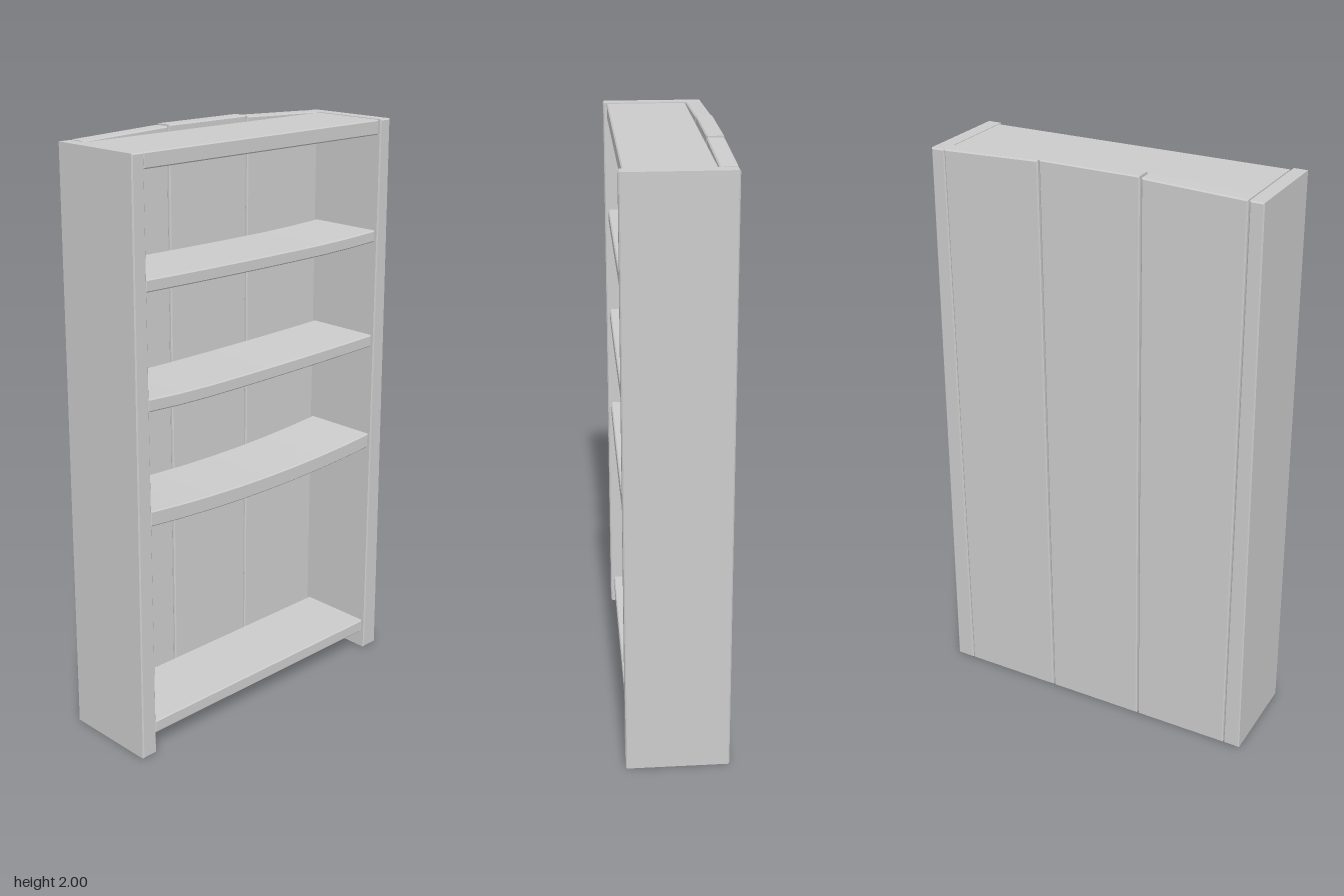
import * as THREE from 'three';

const material = new THREE.MeshStandardMaterial({ color: 0xcccccc, flatShading: true });

// Plank: an outline in x/y (counter-clockwise) run from z0 to z1 with small chamfers
function plank(name, points, z0, z1) {
  const b = 0.004;
  const shape = new THREE.Shape(points.map(([x, y]) => new THREE.Vector2(x, y)));
  const geometry = new THREE.ExtrudeGeometry(shape, {
    depth: z1 - z0 - 2 * b,
    bevelEnabled: true,
    bevelThickness: b,
    bevelSize: b,
    bevelOffset: -b,
    bevelSegments: 1,
  });
  geometry.translate(0, 0, z0 + b);
  const mesh = new THREE.Mesh(geometry, material);
  mesh.name = name;
  return mesh;
}

// Shelf: sags by the given amount, deepest at x = low
function shelf(name, bottom, top, sag = 0, low = 0) {
  const half = 0.517;
  const steps = sag ? 8 : 1;
  const under = [];
  const over = [];
  for (let i = 0; i <= steps; i++) {
    const x = -half + (2 * half * i) / steps;
    const t = (x - low) / (x < low ? half + low : half - low);
    const drop = sag * (1 - t * t);
    under.push([x, bottom - drop]);
    over.unshift([x, top - drop]);
  }
  return plank(name, [...under, ...over], -0.115, 0.16);
}

export function createModel() {
  const group = new THREE.Group();
  group.name = 'bookcase';

  // Side panels, tapering towards the top
  group.add(plank('leftSide', [[0.517, 0], [0.582, 0], [0.562, 1.982], [0.515, 1.982]], -0.172, 0.172));
  group.add(plank('rightSide', [[-0.582, 0], [-0.524, 0], [-0.524, 1.982], [-0.57, 1.982]], -0.172, 0.172));

  // Three back boards with slanting seams and an arched top
  const boards = [
    ['rightBackBoard', [[-0.52, 0], [-0.187, 0], [-0.18, 1.996], [-0.52, 1.983]]],
    ['middleBackBoard', [[-0.181, 0], [0.16, 0], [0.168, 2], [-0.174, 2]]],
    ['leftBackBoard', [[0.166, 0], [0.514, 0], [0.514, 1.983], [0.174, 1.996]]],
  ];
  for (const [name, outline] of boards) group.add(plank(name, outline, -0.172, -0.116));

  // Top, sagging shelves and base
  group.add(shelf('topBoard', 1.93, 1.98));
  group.add(shelf('upperShelf', 1.565, 1.605, 0.008, 0.2));
  group.add(shelf('middleShelf', 1.19, 1.232, 0.01, -0.22));
  group.add(shelf('lowerShelf', 0.81, 0.862, 0.024));
  group.add(shelf('baseShelf', 0.065, 0.11));

  return group;
}
